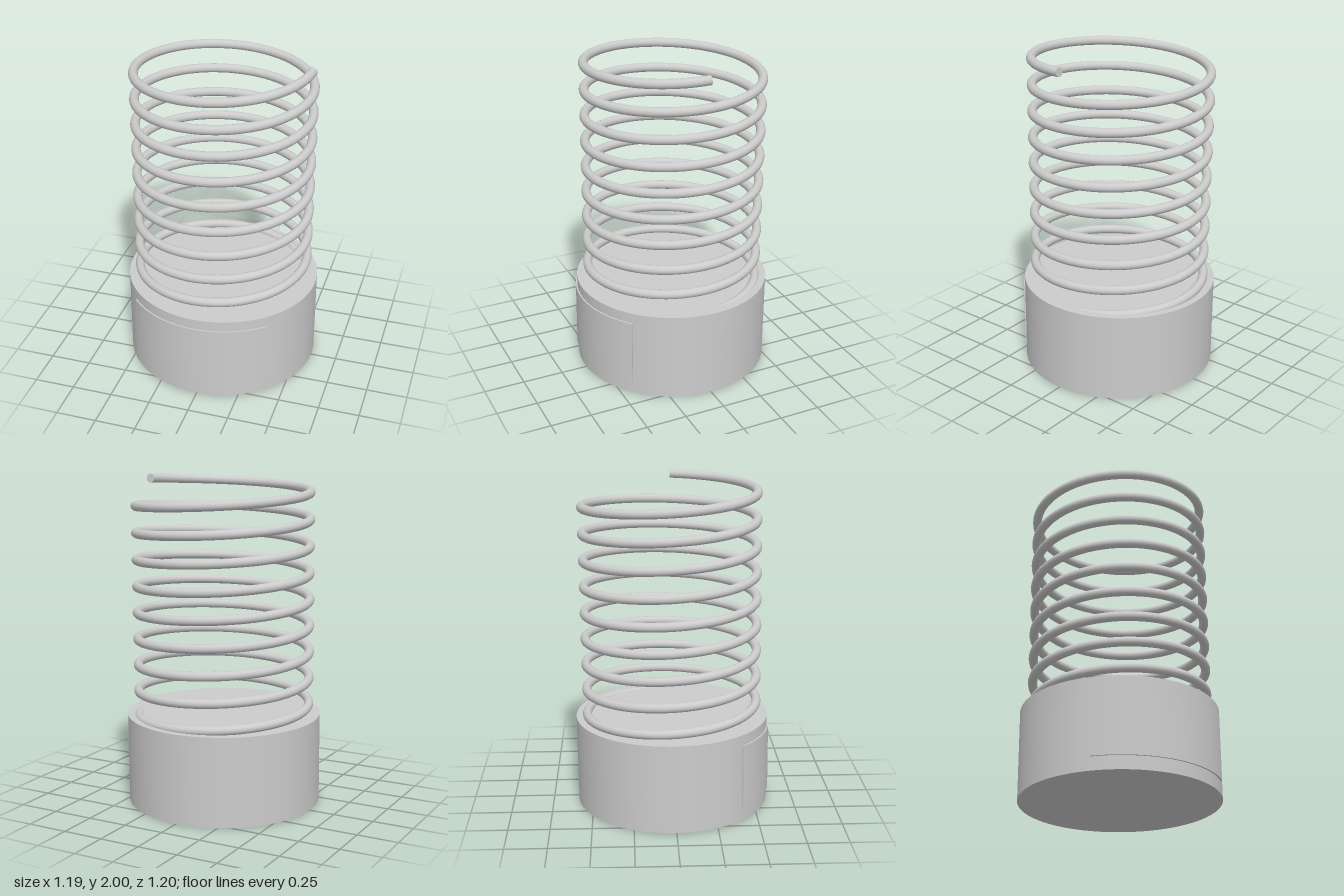
import * as THREE from 'three';
import { toCreasedNormals } from 'three/addons/utils/BufferGeometryUtils.js';

const material = new THREE.MeshStandardMaterial({ color: 0xcccccc });

function addPart(parent, name, geometry) {
  const mesh = new THREE.Mesh(geometry, material);
  mesh.name = name;
  parent.add(mesh);
  return mesh;
}

// Helix that starts at +x on top and winds down past the front
class Helix extends THREE.Curve {
  constructor(radius, top, pitch, turns) {
    super();
    Object.assign(this, { radius, top, pitch, turns });
  }
  getPoint(t, target = new THREE.Vector3()) {
    const a = t * this.turns * Math.PI * 2;
    return target.set(
      this.radius * Math.cos(a),
      this.top - this.pitch * this.turns * t,
      this.radius * Math.sin(a)
    );
  }
}

export function createModel() {
  const model = new THREE.Group();
  model.name = 'springOnBase';

  // Everything shares a very slight lean and turn
  const body = new THREE.Group();
  body.name = 'body';
  body.position.set(-0.003, 0.006, 0);
  body.rotation.set(-0.01, -0.045, 0);
  model.add(body);

  // Solid round base
  const baseHeight = 0.545;
  addPart(body, 'base', new THREE.CylinderGeometry(0.593, 0.593, baseHeight, 96))
    .position.y = baseHeight / 2;

  // Curved quarter-round panel standing just proud of the front
  const panelHeight = 0.4;
  const arc = new THREE.Shape();
  arc.absarc(0, 0, 0.602, -Math.PI * 0.75, -Math.PI * 0.25, false);
  arc.absarc(0, 0, 0.57, -Math.PI * 0.25, -Math.PI * 0.75, true);
  const panelGeometry = new THREE.ExtrudeGeometry(arc, {
    depth: panelHeight, bevelEnabled: false, curveSegments: 40,
  });
  panelGeometry.rotateX(-Math.PI / 2);
  addPart(body, 'frontPanel', toCreasedNormals(panelGeometry, 0.6)).position.y = 0.08;

  // Coil spring
  const wire = 0.028;
  const helix = new Helix(0.525, 1.966, 0.1614, 9);
  addPart(body, 'spring', new THREE.TubeGeometry(helix, 9 * 72, wire, 16, false));

  // Flat caps on both ends of the wire
  for (const [t, sign] of [[0, -1], [1, 1]]) {
    const cap = addPart(body, 'springEnd', new THREE.CircleGeometry(wire, 16));
    cap.position.copy(helix.getPoint(t));
    cap.quaternion.setFromUnitVectors(
      new THREE.Vector3(0, 0, 1),
      helix.getTangent(t).multiplyScalar(sign)
    );
  }

  return model;
}
